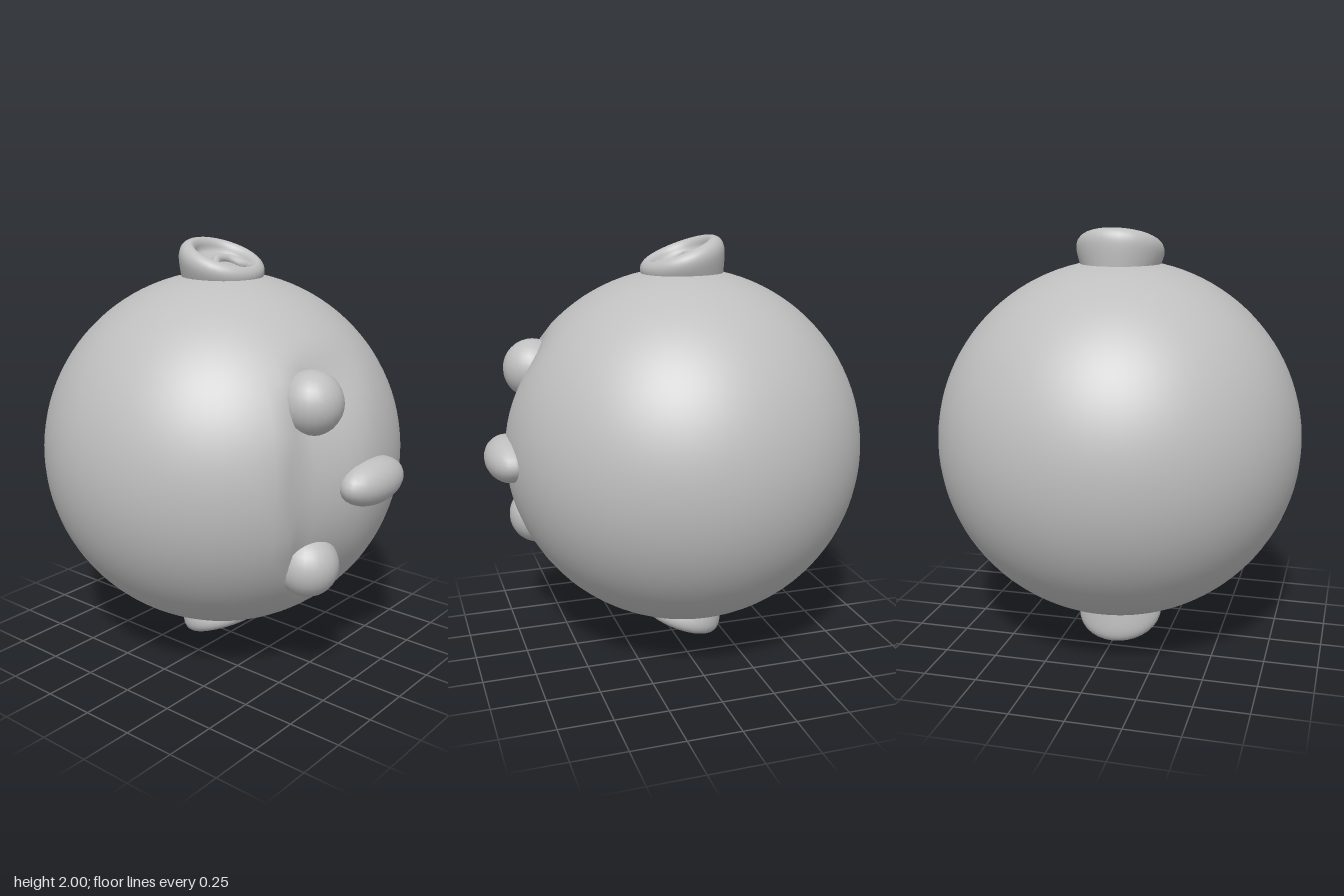
import * as THREE from 'three';
import { mergeVertices } from 'three/addons/utils/BufferGeometryUtils.js';

const smooth = THREE.MathUtils.smoothstep;

// Round head with a shallow brow hollow pressed into the +x side
function headGeometry() {
  let geo = new THREE.SphereGeometry(1, 72, 54);
  geo.deleteAttribute('uv');
  geo.deleteAttribute('normal');
  geo = mergeVertices(geo.scale(0.86, 0.85, 0.867), 1e-4);
  const p = geo.attributes.position;
  for (let i = 0; i < p.count; i++) {
    const x = p.getX(i), y = Math.abs(p.getY(i)), z = p.getZ(i);
    if (x <= 0) continue;
    const below = 0.46 - 0.7 * y * y - z; // distance under the arched brow
    const depth = 0.05 * smooth(below, 0, 0.06) * (1 - smooth(below, 0.12, 0.45))
      * (1 - smooth(y, 0.4, 0.62));
    p.setX(i, x - depth);
  }
  geo.computeVertexNormals();
  return geo;
}

export function createModel() {
  const model = new THREE.Group();
  const grey = new THREE.MeshStandardMaterial({ color: 0xbfbfbf });
  grey.name = 'plain grey';

  function add(name, geo, x, y, z, parent = model) {
    const mesh = new THREE.Mesh(geo, grey);
    mesh.name = name;
    mesh.position.set(x, y, z);
    parent.add(mesh);
    return mesh;
  }

  add('head', headGeometry(), -0.05, 1, 0);

  // Nose: a wide oval across the middle of the face
  add('nose', new THREE.SphereGeometry(1, 24, 16).scale(0.11, 0.105, 0.207), 0.8, 1, -0.005);

  // Cupped ear: outer wall, rolled rim, hollow floor
  const profile = new THREE.SplineCurve([
    [0.15, -0.2], [0.19, -0.11], [0.205, -0.055], [0.195, -0.018], [0.165, 0],
    [0.14, -0.015], [0.122, -0.048], [0.08, -0.055], [0, -0.05],
  ].map(([x, y]) => new THREE.Vector2(x, y))).getPoints(28);
  profile[profile.length - 1].x = 0;
  const cup = new THREE.LatheGeometry(profile, 32);

  for (const side of [1, -1]) {
    const label = side > 0 ? 'upper' : 'lower';
    add(label + 'Eye', new THREE.SphereGeometry(0.143, 24, 16), 0.63, 1 + side * 0.37, 0.23);

    const ear = new THREE.Group();
    ear.name = label + 'Ear';
    ear.position.set(-0.032, 1 + side * 0.94, 0.003);
    if (side < 0) ear.rotation.x = Math.PI;
    model.add(ear);
    const tilted = new THREE.Group();
    tilted.name = label + 'EarTilt';
    tilted.rotation.z = -0.36;
    ear.add(tilted);
    add(label + 'EarCup', cup, 0, 0, 0, tilted);

    // Curled fold inside the ear
    const fold = new THREE.CatmullRomCurve3([
      [0.14, -0.02, -0.06], [0.06, -0.045, -0.09], [-0.01, -0.045, -0.06],
      [-0.025, -0.048, 0.01], [0.015, -0.065, 0.06],
    ].map(([x, y, z]) => new THREE.Vector3(x, y, z * side)));
    add(label + 'EarFold', new THREE.TubeGeometry(fold, 20, 0.022, 10), 0, 0, 0, tilted);
  }
  return model;
}
